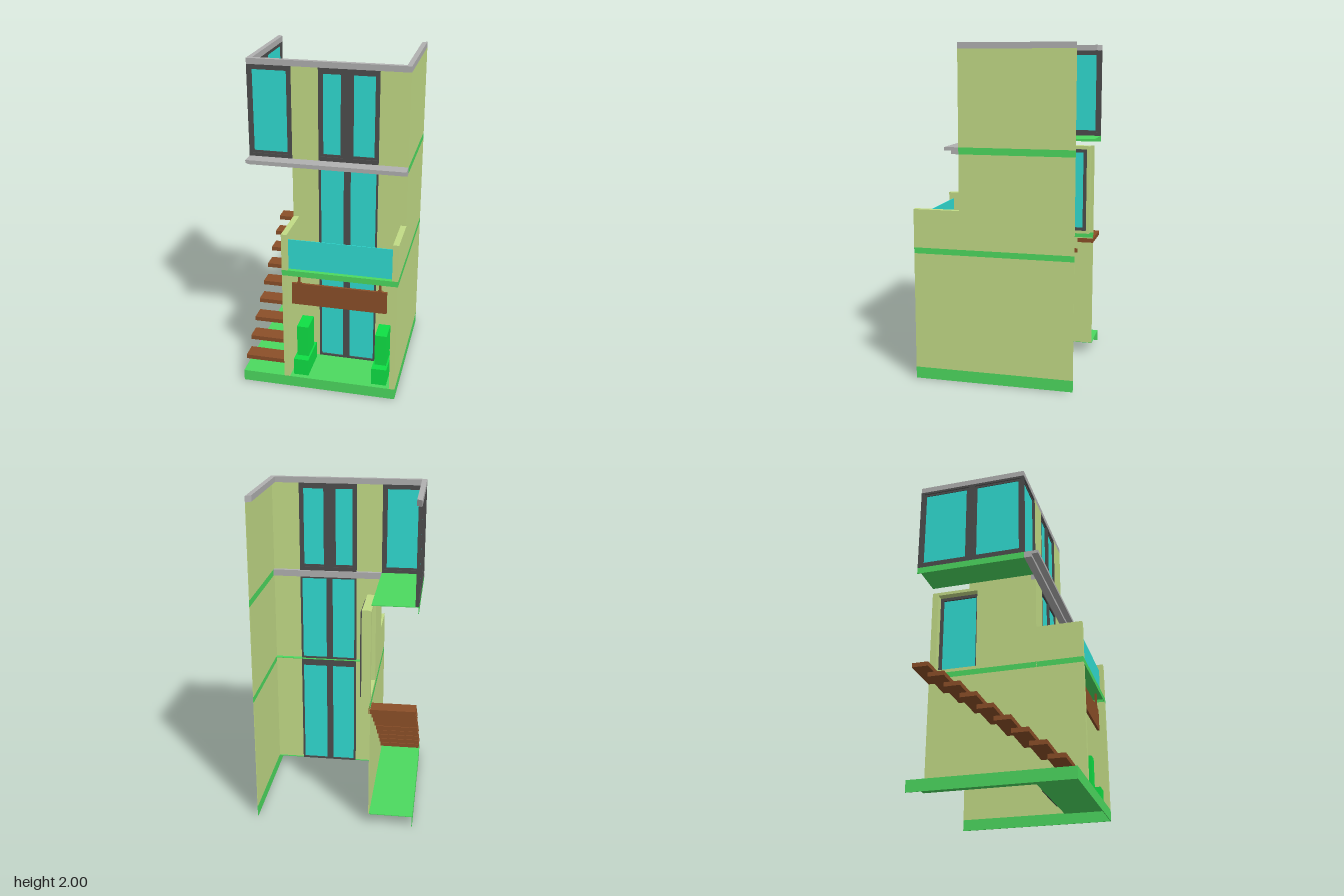
import * as THREE from 'three';

const mat = (color) => new THREE.MeshStandardMaterial({ color, flatShading: true, side: THREE.DoubleSide });
const WALL = mat(0xc2db86), FLOOR = mat(0x4cd95f), WOOD = mat(0x8b4f28), PLANT = mat(0x0fe044);
const GLASS = mat(0x30dcd2), FRAME = mat(0x4d4d4d), STONE = mat(0xb0b0b0);
const T = 0.004; // thickness of thin sheets

// Box given by its limits on each axis
function box(parent, name, material, [x0, x1], [y0, y1], [z0, z1]) {
  const mesh = new THREE.Mesh(new THREE.BoxGeometry(x1 - x0, y1 - y0, z1 - z0), material);
  mesh.position.set((x0 + x1) / 2, (y0 + y1) / 2, (z0 + z1) / 2);
  mesh.name = name;
  parent.add(mesh);
  return mesh;
}

const corners = (x0, x1, y0, y1) => [[x0, y0], [x1, y0], [x1, y1], [x0, y1]].map(([x, y]) => new THREE.Vector2(x, y));

// Flat plate with rectangular openings, extruded along z
function plate(parent, name, material, outline, holes, depth) {
  const shape = new THREE.Shape(outline);
  for (const h of holes) shape.holes.push(new THREE.Path(corners(...h)));
  const mesh = new THREE.Mesh(new THREE.ExtrudeGeometry(shape, { depth, bevelEnabled: false }), material);
  mesh.name = name;
  parent.add(mesh);
  return mesh;
}

// Framed window in the local xy plane, with its outside at z = 0; panes are glass limits
function glazing(parent, name, [x0, x1], [y0, y1], panes, rim = 0) {
  const g = new THREE.Group();
  g.name = name;
  const grow = (p, d) => [p[0] - d, p[1] + d, p[2] - d, p[3] + d];
  plate(g, 'windowFrame', FRAME, corners(x0, x1, y0, y1), panes.map((p) => grow(p, rim)), 0.02).position.z = -0.02;
  for (const p of panes) {
    if (rim) plate(g, 'sash', FRAME, corners(...grow(p, rim)), [p], 0.01).position.z = -0.016;
    box(g, 'glass', GLASS, [p[0], p[1]], [p[2], p[3]], [-0.014, -0.01]);
  }
  parent.add(g);
  return g;
}

export function createModel() {
  const house = new THREE.Group();
  house.name = 'townHouse';
  const LX = -0.215, RX = 0.48, B = -0.48, F = 0.48, M = 0.2;

  // Ground: top sheet and hanging rims, open at the back and below
  box(house, 'groundFront', FLOOR, [-0.48, RX], [0.066, 0.07], [0.19, F]);
  box(house, 'groundSide', FLOOR, [-0.48, LX], [0.066, 0.07], [B, 0.19]);
  box(house, 'groundFrontRim', FLOOR, [-0.48, RX], [0, 0.07], [F - T, F]);
  box(house, 'groundLeftRim', FLOOR, [-0.48, -0.48 + T], [0, 0.07], [B, F]);
  box(house, 'groundRightRim', FLOOR, [RX - T, RX], [0, 0.07], [B, F]);

  // Balcony floor with its rims, continued as a band along the side walls
  box(house, 'balconyFloor', FLOOR, [LX, RX], [0.806, 0.81], [0.17, F]);
  box(house, 'balconyFrontRim', FLOOR, [LX, RX], [0.775, 0.81], [F - T, F]);
  for (const x of [LX, RX - T]) box(house, 'floorBand', FLOOR, [x, x + T], [0.775, 0.81], [B, F]);

  // Upper bay floor and bands
  box(house, 'bayFloor', FLOOR, [-0.48, LX], [1.406, 1.41], [B, M]);
  for (const x of [-0.48, RX - T]) box(house, 'upperBand', FLOOR, [x, x + T], [1.37, 1.41], [B, M]);

  // Right outer wall, storey by storey
  box(house, 'rightWallLower', WALL, [RX - T, RX], [0.07, 0.775], [B, M]);
  box(house, 'rightWallMiddle', WALL, [RX - T, RX], [0.81, 1.37], [B, M]);
  box(house, 'rightWallUpper', WALL, [RX - T, RX], [1.41, 1.965], [B, M]);

  // Left wall, with an opening for the recessed window
  box(house, 'leftWallLower', WALL, [LX, LX + T], [0.07, 0.775], [B, M]);
  const leftWall = plate(house, 'leftWallMiddle', WALL, corners(B, M, 0.81, 1.37), [[-0.44, -0.18, 0.83, 1.35]], T);
  leftWall.rotation.y = -Math.PI / 2;
  leftWall.position.x = LX + T;
  const recess = plate(house, 'windowRecess', WALL, corners(-0.46, -0.16, 0.81, 1.37), [[-0.44, -0.18, 0.83, 1.35]], 0.055);
  recess.rotation.y = -Math.PI / 2;
  recess.position.x = -0.16;
  const recessWindow = glazing(house, 'recessedWindow', [-0.44, -0.18], [0.83, 1.35], [[-0.42, -0.2, 0.85, 1.33]]);
  recessWindow.rotation.y = -Math.PI / 2;
  recessWindow.position.x = -0.17;

  // Balcony and porch side walls
  for (const [x0, x1] of [[LX, -0.18], [0.445, RX]]) {
    box(house, 'porchSideWall', WALL, [x0, x1], [0.07, 0.775], [M, F]);
    box(house, 'balconySideWall', WALL, [x0, x1], [0.81, 1.04], [M, F]);
  }

  // Front wall panels either side of the central windows
  for (const [y0, y1] of [[0.07, 0.806], [0.81, 1.37], [1.41, 1.965]]) {
    box(house, 'frontWallPanel', WALL, [LX, -0.055], [y0, y1], [M - T, M]);
    box(house, 'frontWallPanel', WALL, [0.305, RX - T], [y0, y1], [M - T, M]);
  }

  // Front doors and windows
  const lowPanes = (y0, y1) => [[-0.043, 0.098, y0, y1], [0.138, 0.293, y0, y1]];
  glazing(house, 'entranceDoors', [-0.055, 0.305], [0.07, 0.806], lowPanes(0.082, 0.76)).position.z = M;
  glazing(house, 'balconyDoors', [-0.055, 0.305], [0.81, 1.37], lowPanes(0.822, 1.358)).position.z = M;
  glazing(house, 'upperFrontWindow', [-0.055, 0.305], [1.41, 1.965],
    [[-0.028, 0.077, 1.45, 1.93], [0.153, 0.278, 1.45, 1.93]], 0.015).position.z = M;
  glazing(house, 'bayFrontWindow', [-0.48, LX], [1.41, 1.965], [[-0.45, -0.245, 1.445, 1.935]], 0.015).position.z = M;
  const baySide = glazing(house, 'baySideWindow', [B, M], [1.41, 1.965],
    [[-0.445, -0.175, 1.445, 1.935], [-0.105, 0.165, 1.445, 1.935]], 0.015);
  baySide.rotation.y = -Math.PI / 2;
  baySide.position.x = -0.48;

  // Stepped stone ledge
  box(house, 'ledgeTop', STONE, [-0.48, RX], [1.39, 1.41], [M, 0.285]);
  box(house, 'ledgeBottom', STONE, [-0.48, RX], [1.37, 1.39], [M, 0.245]);
  box(house, 'ledgeBack', STONE, [LX, RX - T], [1.37, 1.41], [0.17, M]);

  // Roof coping, with its two back ends cut at an angle
  const coping = [[-0.48, -M], [0.48, -M], [0.48, 0.48], [0.45, 0.45], [0.45, -0.17], [-0.45, -0.17], [-0.45, 0.45], [-0.48, 0.48]]
    .map(([x, y]) => new THREE.Vector2(x, y));
  const cap = plate(house, 'roofCoping', STONE, coping, [], 0.035);
  cap.rotation.x = -Math.PI / 2;
  cap.position.y = 1.965;

  // Balcony glass
  box(house, 'balconyGlass', GLASS, [-0.18, 0.445], [0.81, 1.0], [0.449, 0.454]);

  // Hanging board and its rods
  box(house, 'hangingBoard', WOOD, [-0.165, 0.412], [0.57, 0.71], [0.43, 0.445]);
  for (const x of [-0.12, 0.37]) {
    box(house, 'boardRod', WOOD, [x - 0.007, x + 0.007], [0.715, 0.806], [0.431, 0.444]);
    box(house, 'rodFoot', WOOD, [x - 0.014, x + 0.014], [0.71, 0.716], [0.43, 0.445]);
  }

  // Stepped planters
  for (const x of [-0.115, 0.375]) {
    box(house, 'planterBase', PLANT, [x - 0.046, x + 0.046], [0.07, 0.18], [0.23, 0.45]);
    box(house, 'planterHedge', PLANT, [x - 0.036, x + 0.036], [0.18, 0.386], [0.26, 0.4]);
  }

  // Floating stair, climbing towards the back and passing through the left wall
  [0.147, 0.229, 0.31, 0.391, 0.47, 0.55, 0.626, 0.7, 0.77].forEach((top, i) => {
    const front = 0.42 - i * 0.1;
    box(house, 'stairTread', WOOD, [-0.48, -0.205], [top - 0.027, top], [front - 0.1, front]);
  });

  return house;
}
